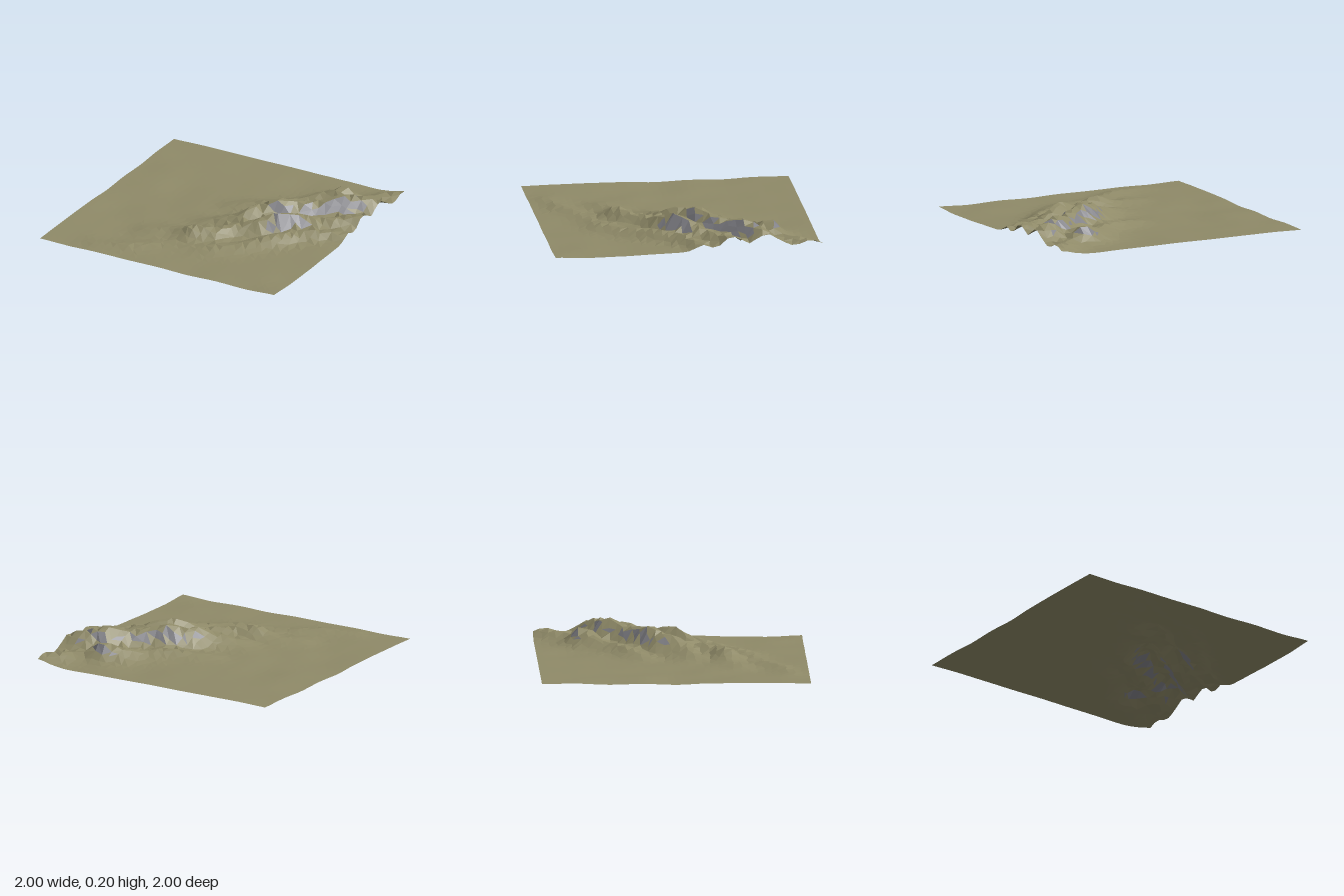
import * as THREE from 'three';

const N = 36; // grid cells per side

// Small repeatable hash and smooth value noise
const hash = (i, j) => {
  const s = Math.sin(i * 127.1 + j * 311.7) * 43758.5453;
  return s - Math.floor(s);
};
function noise(x, z) {
  const i = Math.floor(x), j = Math.floor(z);
  const u = THREE.MathUtils.smoothstep(x - i, 0, 1);
  const v = THREE.MathUtils.smoothstep(z - j, 0, 1);
  const a = THREE.MathUtils.lerp(hash(i, j), hash(i + 1, j), u);
  const b = THREE.MathUtils.lerp(hash(i, j + 1), hash(i + 1, j + 1), u);
  return THREE.MathUtils.lerp(a, b, v) - 0.5;
}

// Ridge crests: points are [x, z, height]; widths are for the back-left and front-right flanks
const ridges = [
  { back: 0.13, front: 0.1, pts: [[-0.35, 0.5, 0.03], [-0.2, 0.42, 0.04], [-0.03, 0.42, 0.1], [0.12, 0.36, 0.09],
    [0.22, 0.24, 0.105], [0.35, 0.16, 0.13], [0.47, 0.05, 0.19], [0.6, -0.05, 0.16], [0.75, -0.15, 0.13],
    [0.9, -0.26, 0.13], [1.05, -0.34, 0.125]] },
  { back: 0.14, front: 0.12, pts: [[0.0, 0.18, 0.06], [0.1, 0.13, 0.09], [0.22, 0.06, 0.13], [0.3, -0.06, 0.18],
    [0.38, -0.14, 0.215], [0.5, -0.22, 0.175], [0.63, -0.31, 0.155], [0.78, -0.46, 0.207], [0.9, -0.54, 0.165],
    [1.05, -0.62, 0.125]] },
  { back: 0.12, front: 0.09, pts: [[0.1, 0.62, 0.025], [0.35, 0.45, 0.05], [0.55, 0.22, 0.08], [0.66, 0.09, 0.09],
    [0.85, -0.05, 0.08], [1.05, -0.13, 0.07]] },
  { back: 0.11, front: 0.12, pts: [[0.0, -0.2, 0.03], [0.18, -0.28, 0.07], [0.4, -0.44, 0.07], [0.53, -0.58, 0.1],
    [0.64, -0.65, 0.142], [0.76, -0.72, 0.07], [1.0, -0.92, 0.06]] },
  { back: 0.1, front: 0.07, pts: [[-0.6, 0.88, 0.015], [-0.35, 0.8, 0.03], [-0.15, 0.68, 0.025], [0.25, 0.56, 0.035]] },
];

function ridgeHeight({ pts, back, front }, x, z) {
  let best = 0;
  for (let k = 0; k + 1 < pts.length; k++) {
    const [ax, az, ah] = pts[k], [bx, bz, bh] = pts[k + 1];
    const dx = bx - ax, dz = bz - az;
    const t = THREE.MathUtils.clamp(((x - ax) * dx + (z - az) * dz) / (dx * dx + dz * dz), 0, 1);
    const ox = x - ax - dx * t, oz = z - az - dz * t;
    const w = ox * 0.6 + oz * 0.8 > 0 ? front : back;
    best = Math.max(best, (ah + (bh - ah) * t) * Math.exp(-Math.pow(Math.hypot(ox, oz) / w, 1.6)));
  }
  return best;
}

function height(x, z) {
  // broad rise under the hills, gentle swell of the plain
  const along = (x - 0.6) * 0.78 - (z + 0.2) * 0.62, across = (x - 0.6) * 0.62 + (z + 0.2) * 0.78;
  const rise = 0.08 * Math.exp(-((along / 0.5) ** 2) - (across / 0.33) ** 2);
  const plain = 0.011 + 0.007 * Math.max(0, -z) - 0.004 * x + 0.012 * noise(x * 4 + 9, z * 4 + 5);
  const h = Math.max(rise, ...ridges.map((r) => ridgeHeight(r, x, z)));
  const rough = 1 + 0.35 * noise(x * 9 + 3, z * 9 + 7) * (h < 0.15 ? 1 : 0.25);
  return Math.max(0, plain + h * 0.94 * rough);
}

// Slightly irregular grid point; the outer border stays straight
function gridPoint(i, j) {
  const jitter = (k, s) => (k === 0 || k === N ? 0 : (hash(i + s, j - s) - 0.5) * 0.45);
  const x = ((i + jitter(i, 17)) / N) * 2 - 1;
  const z = ((j + jitter(j, 41)) / N) * 2 - 1;
  return new THREE.Vector3(x, height(x, z), z);
}

function surface(name, positions, color) {
  const geometry = new THREE.BufferGeometry();
  geometry.setAttribute('position', new THREE.Float32BufferAttribute(positions, 3));
  geometry.computeVertexNormals();
  const material = new THREE.MeshStandardMaterial({ color, flatShading: true, side: THREE.DoubleSide });
  const mesh = new THREE.Mesh(geometry, material);
  mesh.name = name;
  return mesh;
}

export function createModel() {
  const group = new THREE.Group();
  group.name = 'terrain';

  const points = [];
  for (let j = 0; j <= N; j++) for (let i = 0; i <= N; i++) points.push(gridPoint(i, j));

  // Steep, high faces become bare rock, the rest is grass
  const grass = [], rock = [];
  const normal = new THREE.Vector3();
  const addFace = (a, b, c) => {
    THREE.Triangle.getNormal(a, b, c, normal);
    const bare = normal.y < 0.72 && (a.y + b.y + c.y) / 3 > 0.08;
    for (const p of [a, b, c]) (bare ? rock : grass).push(p.x, p.y, p.z);
  };
  for (let j = 0; j < N; j++) {
    for (let i = 0; i < N; i++) {
      const k = j * (N + 1) + i;
      const a = points[k], b = points[k + 1], c = points[k + N + 1], d = points[k + N + 2];
      if (hash(i, j) > 0.5) {
        addFace(a, c, b);
        addFace(b, c, d);
      } else {
        addFace(a, c, d);
        addFace(a, d, b);
      }
    }
  }
  group.add(surface('grassland', grass, 0x8f8a68));
  if (rock.length) group.add(surface('rockFaces', rock, 0x808086));
  return group;
}
